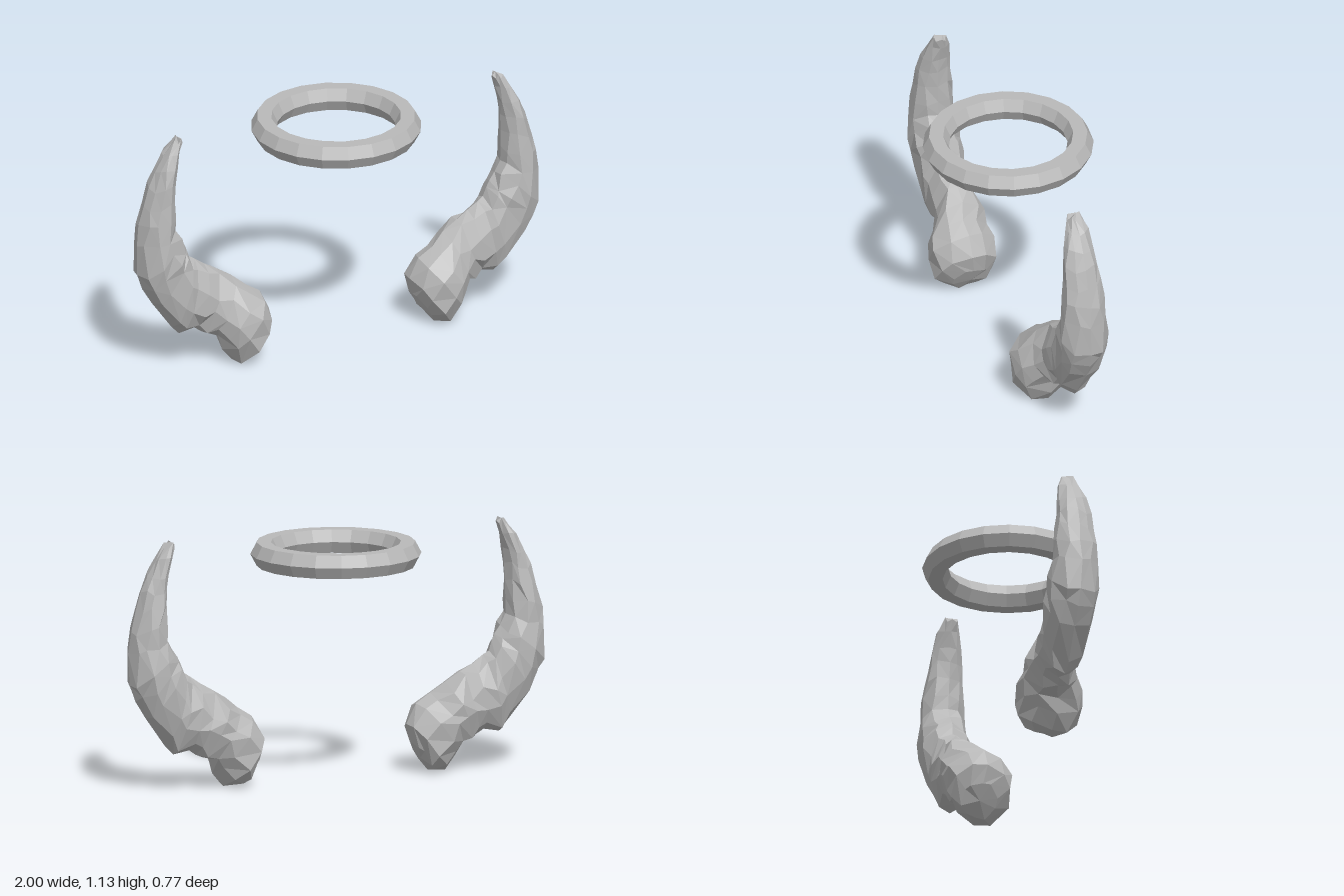
import * as THREE from 'three';

const grey = new THREE.MeshStandardMaterial({ color: 0xb9b9b9, flatShading: true });
grey.name = 'stone grey';

// Horn cross-sections from root to tip:
// inner edge x, y, outer edge x, y, back z, front z
const SECTIONS = [
  [0.375, 0.135, 0.470, 0.010, -0.07, 0.09],
  [0.350, 0.225, 0.530, 0.008, -0.105, 0.165],
  [0.400, 0.310, 0.580, 0.070, -0.12, 0.182],
  [0.465, 0.360, 0.605, 0.130, -0.118, 0.165],
  [0.530, 0.410, 0.640, 0.145, -0.11, 0.125],
  [0.600, 0.447, 0.675, 0.165, -0.10, 0.098],
  [0.660, 0.480, 0.710, 0.185, -0.10, 0.095],
  [0.710, 0.510, 0.785, 0.170, -0.10, 0.095],
  [0.735, 0.540, 0.822, 0.215, -0.105, 0.10],
  [0.752, 0.580, 0.920, 0.345, -0.11, 0.108],
  [0.765, 0.610, 0.970, 0.420, -0.115, 0.11],
  [0.790, 0.650, 0.990, 0.500, -0.115, 0.108],
  [0.818, 0.700, 0.998, 0.640, -0.10, 0.105],
  [0.820, 0.770, 0.988, 0.740, -0.095, 0.102],
  [0.820, 0.850, 0.966, 0.830, -0.082, 0.096],
  [0.815, 0.930, 0.940, 0.915, -0.07, 0.085],
  [0.808, 1.000, 0.907, 0.985, -0.062, 0.07],
  [0.792, 1.070, 0.865, 1.055, -0.045, 0.055],
  [0.778, 1.125, 0.823, 1.115, -0.025, 0.04],
];
const SIDES = 10;

function seeded(seed) {
  return () => (seed = (seed * 16807) % 2147483647) / 2147483647 - 0.5;
}

// Rough faceted loft through the sections; side is +1 (left) or -1 (right)
function hornGeometry(side) {
  const rand = seeded(77);
  const pos = [];
  const index = [];
  const tri = (a, b, c) => (side > 0 ? index.push(a, b, c) : index.push(a, c, b));
  SECTIONS.forEach(([ix, iy, ox, oy, zb, zf], r) => {
    for (let k = 0; k < SIDES; k++) {
      const edge = k % (SIDES / 2) === 0;
      const a = (k / SIDES) * Math.PI * 2 + rand() * (edge ? 0.1 : 0.3);
      const c = Math.cos(a), s = Math.sin(a);
      const rough = 1.02 + rand() * (edge ? 0.08 : 0.16);
      const slide = edge ? 0 : rand() * 0.035;
      pos.push(
        side * ((ix + ox) / 2 + ((ox - ix) / 2) * c * rough),
        Math.max(0.003, (iy + oy) / 2 + ((oy - iy) / 2) * c * rough + slide),
        (zb + zf) / 2 + ((zf - zb) / 2) * s * rough,
      );
    }
    if (r === 0) return;
    for (let k = 0; k < SIDES; k++) {
      const n = (k + 1) % SIDES;
      const a = (r - 1) * SIDES + k, b = (r - 1) * SIDES + n;
      const c = r * SIDES + k, d = r * SIDES + n;
      if (rand() > 0) { tri(a, c, b); tri(b, c, d); }
      else { tri(a, c, d); tri(a, d, b); }
    }
  });
  // Root and tip caps
  const last = (SECTIONS.length - 1) * SIDES;
  const root = pos.length / 3;
  pos.push(side * 0.412, 0.068, 0.01, side * 0.797, 1.137, -0.005);
  for (let k = 0; k < SIDES; k++) {
    const n = (k + 1) % SIDES;
    tri(root, k, n);
    tri(root + 1, last + n, last + k);
  }
  const geo = new THREE.BufferGeometry();
  geo.setAttribute('position', new THREE.Float32BufferAttribute(pos, 3));
  geo.setIndex(index);
  const flat = geo.toNonIndexed();
  flat.computeVertexNormals();
  return flat;
}

// Ring with a hexagonal section
function haloGeometry() {
  const profile = [
    [0.356, 0.978], [0.384, 1.031], [0.356, 1.084],
    [0.292, 1.084], [0.266, 1.031], [0.292, 0.978], [0.356, 0.978],
  ].map(([r, y]) => new THREE.Vector2(r, y));
  const flat = new THREE.LatheGeometry(profile, 20).toNonIndexed();
  flat.computeVertexNormals();
  return flat;
}

export function createModel() {
  const group = new THREE.Group();
  group.name = 'hornsAndHalo';
  const add = (name, geometry) => {
    const mesh = new THREE.Mesh(geometry, grey);
    mesh.name = name;
    group.add(mesh);
  };
  add('leftHorn', hornGeometry(1));
  add('rightHorn', hornGeometry(-1));
  add('halo', haloGeometry());
  return group;
}
